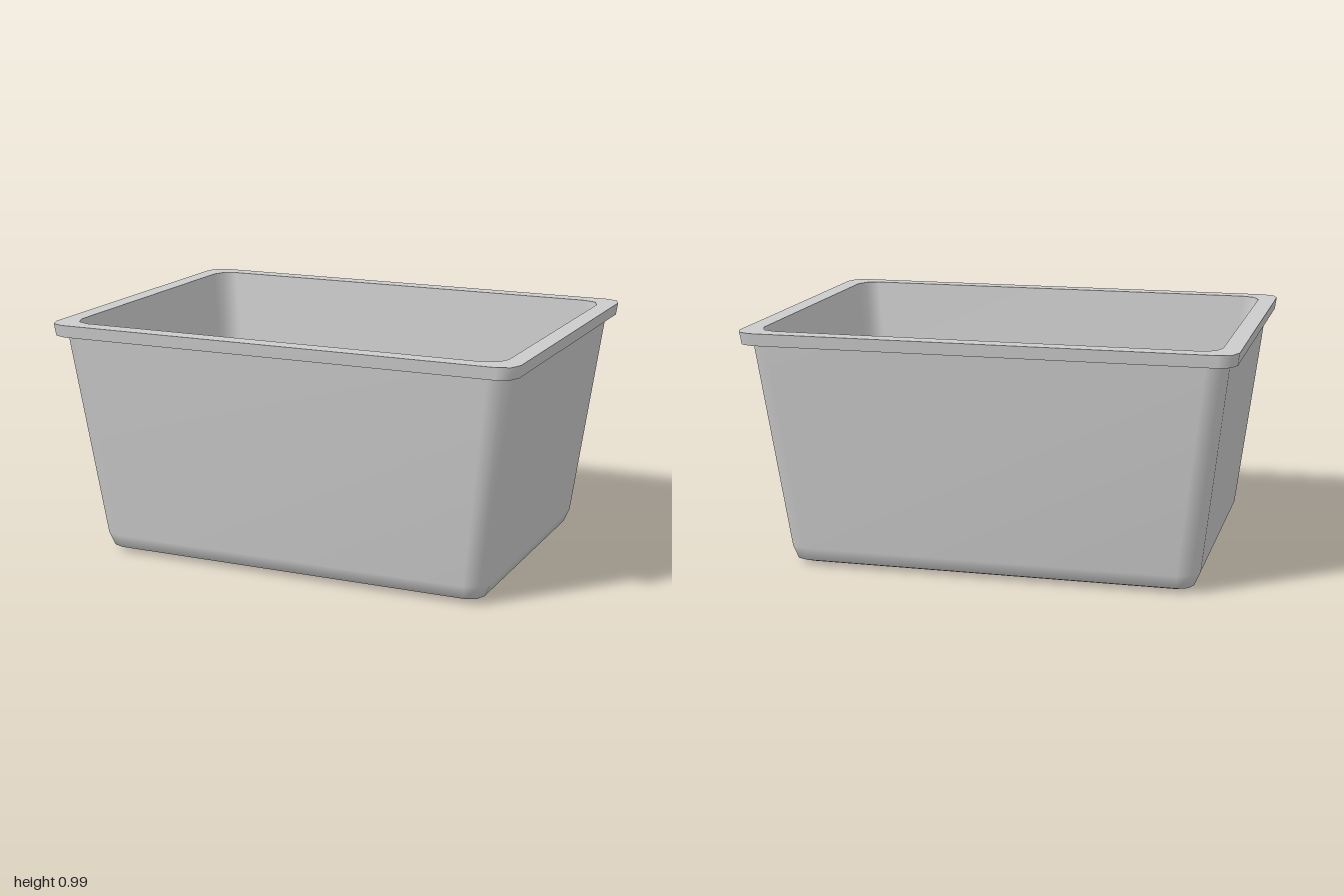
import * as THREE from 'three';

const SEG = 2; // segments per rounded corner

// Rounded-rectangle cross-section: half width, half depth, height, corner radius
function ring([hx, hz, y, r]) {
  const pts = [];
  [[1, 1], [-1, 1], [-1, -1], [1, -1]].forEach(([sx, sz], q) => {
    for (let k = 0; k <= SEG; k++) {
      const a = (q + k / SEG) * Math.PI / 2;
      pts.push(sx * (hx - r) + r * Math.cos(a), y, -(sz * (hz - r) + r * Math.sin(a)));
    }
  });
  return pts;
}

// Smooth skin through a stack of cross-sections
function loft(name, sections, material) {
  const n = 4 * (SEG + 1), index = [];
  for (let i = 0; i < sections.length - 1; i++) {
    for (let j = 0; j < n; j++) {
      const a = i * n + j, b = i * n + (j + 1) % n;
      index.push(a, b, b + n, a, b + n, a + n);
    }
  }
  const geo = new THREE.BufferGeometry();
  geo.setAttribute('position', new THREE.Float32BufferAttribute(sections.flatMap(ring), 3));
  geo.setIndex(index);
  geo.computeVertexNormals();
  const mesh = new THREE.Mesh(geo, material);
  mesh.name = name;
  return mesh;
}

export function createModel() {
  const group = new THREE.Group();
  group.name = 'storageTub';
  const mat = new THREE.MeshStandardMaterial({ color: 0xcccccc });

  // Section edges shared by neighbouring parts, which stay sharp
  const wallTop = [0.96, 0.69, 0.94, 0.08];
  const lipBottom = [0.993, 0.722, 0.94, 0.07];
  const lipTop = [1, 0.727, 0.99, 0.07];
  const mouth = [0.927, 0.654, 0.99, 0.075];

  // Tapered outside with rounded bottom edge
  group.add(loft('outerShell', [
    [0, 0, 0, 0],
    [0.765, 0.52, 0, 0.01],
    [0.83, 0.58, 0.022, 0.06],
    [0.855, 0.605, 0.08, 0.085],
    wallTop,
  ], mat));

  // Overhanging lip
  group.add(loft('lipUnderside', [wallTop, lipBottom], mat));
  group.add(loft('lipEdge', [lipBottom, lipTop], mat));
  group.add(loft('lipTop', [lipTop, mouth], mat));

  // Inside walls and floor
  group.add(loft('innerShell', [
    mouth,
    [0.82, 0.57, 0.115, 0.08],
    [0.797, 0.548, 0.06, 0.057],
    [0.735, 0.49, 0.038, 0.01],
    [0, 0, 0.038, 0],
  ], mat));

  return group;
}
